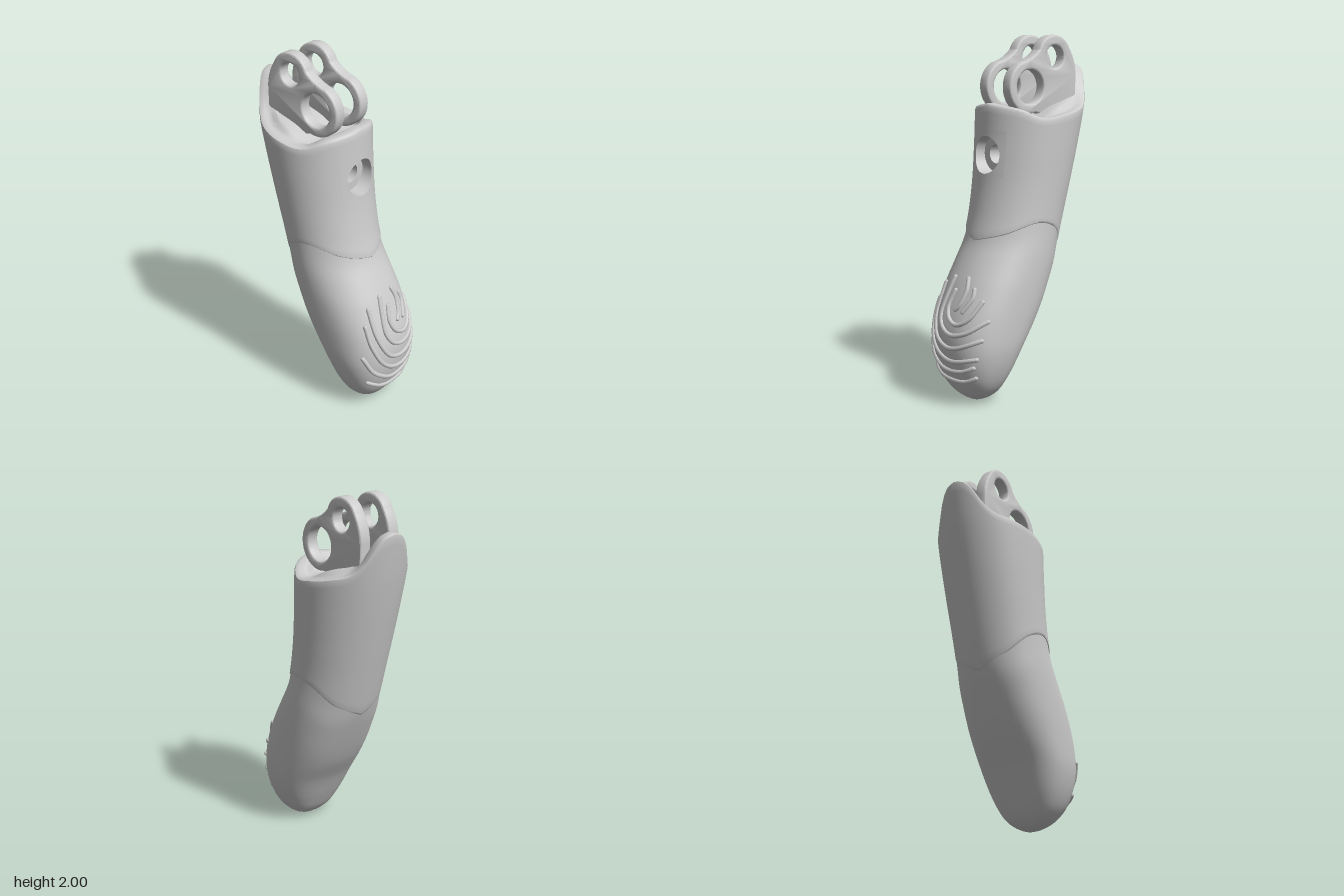
import * as THREE from 'three';
import { toCreasedNormals } from 'three/addons/utils/BufferGeometryUtils.js';

const V = (x, y, z) => new THREE.Vector3(x, y, z);
const SEG = 64;

// Smooth interpolation of column c in a table sorted by column 0
function interp(table, t, c = 1) {
  const n = table.length - 1;
  t = Math.min(Math.max(t, table[0][0]), table[n][0]);
  let i = 0;
  while (i < n - 1 && t > table[i + 1][0]) i++;
  const slope = k => {
    const a = table[Math.max(k - 1, 0)], b = table[Math.min(k + 1, n)];
    return (b[c] - a[c]) / (b[0] - a[0]);
  };
  const [p, q] = [table[i], table[i + 1]], h = q[0] - p[0], u = (t - p[0]) / h;
  const u2 = u * u, u3 = u2 * u;
  return (2 * u3 - 3 * u2 + 1) * p[c] + (u3 - 2 * u2 + u) * h * slope(i)
    + (3 * u2 - 2 * u3) * q[c] + (u3 - u2) * h * slope(i + 1);
}

// Level slices: height, front z, back z, half width
const sleeveTable = [
  [0.7, 0.32, -0.19, 0.264], [0.78, 0.302, -0.22, 0.265], [0.9, 0.272, -0.255, 0.265],
  [1.03, 0.24, -0.29, 0.266], [1.2, 0.212, -0.335, 0.274], [1.4, 0.195, -0.385, 0.286],
  [1.6, 0.185, -0.43, 0.296], [1.85, 0.175, -0.475, 0.298],
];
// The tip is keyed on the root of the height, which rounds its end
const tipTable = [
  [0, 0.27, 0.27, 0], [0.015, 0.32, 0.22, 0.068], [0.06, 0.375, 0.17, 0.138],
  [0.15, 0.433, 0.115, 0.198], [0.3, 0.468, 0.035, 0.245], [0.45, 0.458, -0.06, 0.259],
  [0.65, 0.385, -0.16, 0.266], [0.78, 0.325, -0.222, 0.266], [0.9, 0.272, -0.26, 0.265],
  [1.08, 0.23, -0.305, 0.266],
].map(([y, ...r]) => [Math.sqrt(y), ...r]);

const slice = (table, t, n) => {
  const f = interp(table, t, 1), b = interp(table, t, 2);
  return { c: (f + b) / 2, a: (f - b) / 2, w: interp(table, t, 3), n };
};
const sleeveSlice = y => slice(sleeveTable, y, 2);
const tipSlice = y => slice(tipTable, Math.sqrt(y), 2 + 0.5 * THREE.MathUtils.smoothstep(0.9 - y, 0, 0.4));

const power = (v, n) => Math.sign(v) * Math.pow(Math.abs(v), 2 / n);
function around({ c, a, w, n }, angle, y, s = 1) {
  return V(s * w * power(Math.sin(angle), n), y, c + s * a * power(Math.cos(angle), n));
}
function onFront({ c, a, w, n }, x, y) {
  const k = Math.min(Math.abs(x) / w, 1);
  return V(x, y, c + a * Math.pow(1 - Math.pow(k, n), 1 / n));
}

// Skin a stack of closed loops; skip(j, i) leaves cells out
function skin(rows, skip = () => false) {
  const n = rows[0].length, index = [];
  for (let j = 0; j < rows.length - 1; j++) for (let i = 0; i < n; i++) {
    if (skip(j, i)) continue;
    const a = j * n + i, b = j * n + (i + 1) % n;
    index.push(a, b, b + n, a, b + n, a + n);
  }
  const g = new THREE.BufferGeometry().setFromPoints(rows.flat());
  g.setIndex(index);
  return toCreasedNormals(g, 0.7);
}

// Wavy edges, by angle in degrees from the front to the back
const seamTable = [[0, 0.89], [40, 0.935], [78, 0.993], [110, 0.955], [145, 0.84], [180, 0.77]];
const rimTable = [[0, 1.635], [40, 1.605], [66, 1.56], [97, 1.58], [121, 1.605], [138, 1.63],
  [150, 1.69], [158, 1.76], [168, 1.82], [180, 1.84]];
const floorTable = [[-0.4, 1.74], [-0.3, 1.66], [-0.15, 1.61], [0, 1.545], [0.1, 1.57], [0.2, 1.6]];
const degrees = a => THREE.MathUtils.radToDeg(Math.acos(Math.cos(a)));
const seam = a => interp(seamTable, degrees(a));
const rim = a => interp(rimTable, degrees(a));
const loop = f => Array.from({ length: SEG }, (_, i) => f(i / SEG * Math.PI * 2));

export function createModel() {
  const model = new THREE.Group();
  const material = new THREE.MeshStandardMaterial({ color: 0xcccccc, side: THREE.DoubleSide });
  const add = (name, geometry, parent = model) => {
    const mesh = new THREE.Mesh(geometry, material);
    mesh.name = name;
    parent.add(mesh);
    return mesh;
  };

  // Sleeve: rolled lower lip, wall, rounded rim, then the dished top
  const rows = [];
  const sleeveRow = (height, s) => rows.push(loop(a => around(sleeveSlice(height(a)), a, height(a), s)));
  sleeveRow(a => seam(a) + 0.02, 0.9);
  sleeveRow(seam, 0.975);
  sleeveRow(a => seam(a) + 0.004, 0.993);
  const wallStart = rows.length, WALL = 24;
  for (let j = 0; j <= WALL; j++) {
    sleeveRow(a => THREE.MathUtils.lerp(seam(a) + 0.014, rim(a) - 0.02, j / WALL), 1);
  }
  for (const s of [0.985, 0.95, 0.9, 0.85, 0.8, 0.77, 0.74, 0.71, 0.68, 0.55, 0.4, 0.2, 0]) {
    rows.push(loop(a => {
      const top = rim(a), p = around(sleeveSlice(top), a, top, s);
      const blend = THREE.MathUtils.smoothstep(s, 0.66, 0.82);
      p.y = THREE.MathUtils.lerp(interp(floorTable, p.z), top - (s > 0.96 ? 0.006 : 0), blend);
      return p;
    }));
  }
  // A window in the wall's front leaves room for the screw hole
  const K = 5, j0 = wallStart + 11, j1 = wallStart + 20;
  add('sleeve', skin(rows, (j, i) => j >= j0 && j < j1 && (i < K || i >= SEG - K)));

  // Screw hole: window edge to a circle, counterbore, narrow bore
  const at = (j, i) => rows[j][(i + SEG) % SEG];
  const edge = [];
  for (let i = -K; i < K; i++) edge.push(at(j0, i));
  for (let j = j0; j < j1; j++) edge.push(at(j, K));
  for (let i = K; i > -K; i--) edge.push(at(j1, i));
  for (let j = j1; j > j0; j--) edge.push(at(j, -K));
  const holeY = 1.355;
  const circle = r => edge.map(p => {
    const a = Math.atan2(p.y - holeY, p.x);
    return V(r * Math.cos(a), holeY + r * Math.sin(a), 0);
  });
  const surfaced = pts => pts.map(p => onFront(sleeveSlice(p.y), p.x, p.y));
  const mouth = circle(0.103);
  const ring = (r, z) => circle(r).map(p => p.setZ(z));
  add('screwHole', skin([
    edge, surfaced(edge.map((p, i) => p.clone().lerp(mouth[i], 0.5))), surfaced(mouth),
    ring(0.098, 0.12), ring(0.052, 0.12), ring(0.052, 0.05), ring(0.036, 0.05),
    ring(0.036, -0.05), ring(0, -0.05),
  ]));

  // Fingertip, tucked a little under the sleeve
  const tipRows = [];
  for (let j = 0; j <= 40; j++) {
    const u = j / 40, k = Math.pow(u, 1.6);
    tipRows.push(loop(a => {
      const y = k * (seam(a) + 0.05);
      return around(tipSlice(y), a, y, 1 - 0.02 * THREE.MathUtils.smoothstep(u, 0.85, 0.97));
    }));
  }
  add('fingertip', skin(tipRows));

  // Raised grip ridges in a whorl on the front of the tip
  const ridges = new THREE.Group();
  ridges.name = 'gripRidges';
  model.add(ridges);
  const paths = [
    [[-0.18, 0.2], [-0.1, 0.155], [0, 0.14], [0.1, 0.145], [0.165, 0.175]],
    [[-0.215, 0.375], [-0.17, 0.28], [-0.08, 0.215], [0, 0.195], [0.1, 0.205], [0.17, 0.235]],
    [[-0.18, 0.56], [-0.175, 0.45], [-0.13, 0.34], [-0.05, 0.275], [0.05, 0.255], [0.19, 0.285]],
    [[-0.14, 0.65], [-0.14, 0.5], [-0.09, 0.38], [0, 0.33], [0.1, 0.34], [0.21, 0.39]],
    [[-0.05, 0.695], [-0.07, 0.6], [-0.08, 0.5], [-0.04, 0.43], [0.04, 0.4], [0.14, 0.425], [0.22, 0.49]],
    [[-0.01, 0.63], [-0.03, 0.55], [0, 0.485], [0.07, 0.46], [0.14, 0.5], [0.18, 0.59]],
    [[0.06, 0.7], [0.075, 0.64], [0.06, 0.57], [0.035, 0.535]],
    [[0.12, 0.65], [0.125, 0.6], [0.09, 0.53]],
  ];
  for (const path of paths) {
    const flat = new THREE.SplineCurve(path.map(p => new THREE.Vector2(...p)));
    const points = flat.getPoints(24).map(p => onFront(tipSlice(p.y), p.x, p.y));
    add('ridge', new THREE.TubeGeometry(new THREE.CatmullRomCurve3(points), 48, 0.013, 8), ridges);
    for (const end of [points[0], points[24]]) {
      add('ridgeEnd', new THREE.SphereGeometry(0.013, 8, 6), ridges).position.copy(end);
    }
  }

  // Pair of hinge lugs, each with a large and a small pin hole
  const rad = THREE.MathUtils.degToRad;
  const lug = new THREE.Shape();
  lug.moveTo(0.06, 1.5);
  lug.absarc(0.016, 1.72, 0.145, rad(285), rad(115), true);
  lug.quadraticCurveTo(0.03, 1.868, 0.195 - 0.113, 1.921);
  lug.absarc(0.195, 1.88, 0.12, rad(160), rad(25), true);
  lug.quadraticCurveTo(0.352, 1.86, 0.354, 1.78);
  lug.lineTo(0.345, 1.5);
  for (const [x, y, r] of [[0.018, 1.72, 0.094], [0.195, 1.88, 0.063]]) {
    const hole = new THREE.Path();
    hole.absarc(x, y, r, 0, Math.PI * 2, false);
    lug.holes.push(hole);
  }
  const lugGeometry = toCreasedNormals(new THREE.ExtrudeGeometry(lug, {
    depth: 0.046, bevelThickness: 0.012, bevelSize: 0.012, bevelOffset: -0.012,
    bevelSegments: 3, curveSegments: 24,
  }).translate(0, 0, -0.023).rotateY(Math.PI / 2), 0.6);
  for (const side of [1, -1]) {
    add(side > 0 ? 'leftHingeLug' : 'rightHingeLug', lugGeometry).position.x = side * 0.098;
  }
  return model;
}
